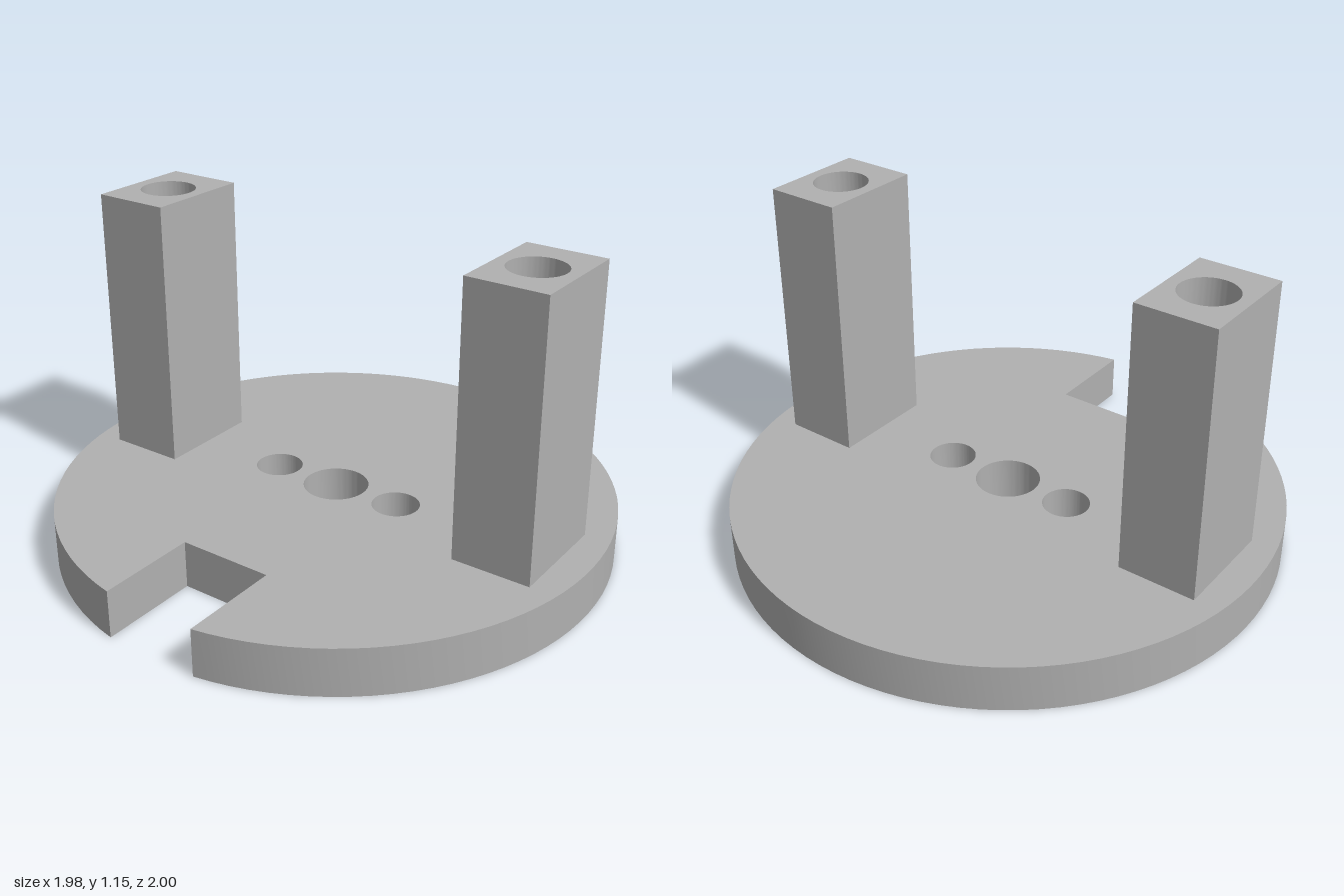
import * as THREE from 'three';
import { toCreasedNormals } from 'three/addons/utils/BufferGeometryUtils.js';

const DISC_H = 0.172, TOP = 1.146, POST_Z = 0.745, BORE_R = 0.099;
const SLOT_HALF = 0.173, SLOT_X = -0.622;

// Circular hole at (0, z)
function addHole(shape, z, radius) {
  const hole = new THREE.Path();
  hole.absarc(0, z, radius, 0, Math.PI * 2, true);
  shape.holes.push(hole);
}

// Extrude a plan shape upwards, smooth on round walls and sharp on edges
function extrudeUp(shape, height) {
  const geo = new THREE.ExtrudeGeometry(shape, { depth: height, bevelEnabled: false, curveSegments: 48 });
  geo.rotateX(-Math.PI / 2);
  return toCreasedNormals(geo, Math.PI / 6);
}

export function createModel() {
  const group = new THREE.Group();
  group.name = 'slottedDiscWithPosts';
  const grey = new THREE.MeshStandardMaterial({ color: 0xb0b0b0 });
  grey.name = 'grey';

  // Disc with a rectangular slot in its right edge and five round holes
  const a = Math.asin(SLOT_HALF);
  const plan = new THREE.Shape();
  plan.absarc(0, 0, 1, -Math.PI + a, Math.PI - a, false);
  plan.lineTo(SLOT_X, SLOT_HALF);
  plan.lineTo(SLOT_X, -SLOT_HALF);
  plan.closePath();
  addHole(plan, 0, 0.117);
  for (const s of [-1, 1]) {
    addHole(plan, s * 0.257, 0.085);
    addHole(plan, s * POST_Z, BORE_R);
  }
  const disc = new THREE.Mesh(extrudeUp(plan, DISC_H), grey);
  disc.name = 'disc';
  group.add(disc);

  // Square-cornered posts, bored through along their height
  const w = 0.197, d = 0.1425;
  const section = new THREE.Shape([[-w, -d], [w, -d], [w, d], [-w, d]].map(p => new THREE.Vector2(...p)));
  addHole(section, 0, BORE_R);
  const postGeo = extrudeUp(section, TOP - DISC_H);
  for (const [name, s] of [['frontPost', 1], ['backPost', -1]]) {
    const post = new THREE.Mesh(postGeo, grey);
    post.name = name;
    post.position.set(0, DISC_H, s * POST_Z);
    group.add(post);
  }

  // The slot shortens the right side, so shift to centre the bounds
  group.children.forEach(m => { m.position.x = -(1 - Math.cos(a)) / 2; });
  return group;
}
